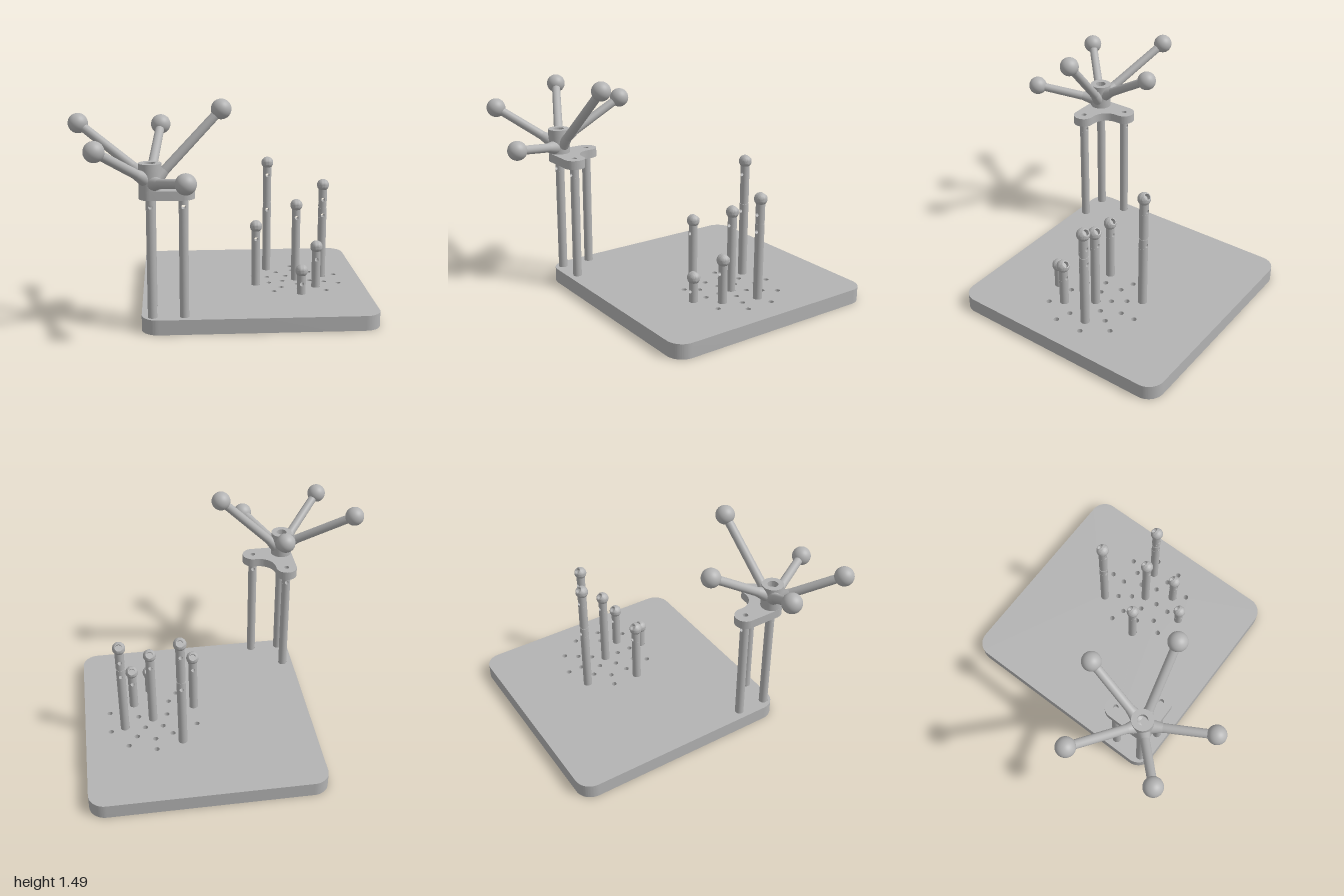
import * as THREE from 'three';
import { toCreasedNormals } from 'three/addons/utils/BufferGeometryUtils.js';
import { ParametricGeometry } from 'three/addons/geometries/ParametricGeometry.js';

const grey = new THREE.MeshStandardMaterial({ color: 0xb3b3b3, side: THREE.DoubleSide });
grey.name = 'plain grey';

const ROD = 0.03;        // radius of pegs, posts and arms
const PIN = 0.014;       // radius of the cross holes
const HALF = 0.02;       // half height of a drilled rod section
const BOARD_TOP = 0.1;

function add(parent, name, geometry, x = 0, y = 0, z = 0) {
  const mesh = new THREE.Mesh(geometry, grey);
  mesh.name = name;
  mesh.position.set(x, y, z);
  parent.add(mesh);
  return mesh;
}

function addGroup(parent, name, x, z) {
  const group = new THREE.Group();
  group.name = name;
  group.position.set(x, 0, z);
  parent.add(group);
  return group;
}

// Flat slab lying in xz; shape y stands for -z
function slab(shape, height) {
  const g = new THREE.ExtrudeGeometry(shape, { depth: height, bevelEnabled: false, curveSegments: 20 });
  return toCreasedNormals(g.rotateX(-Math.PI / 2), 0.6);
}

function circlePath(x, z, r) {
  const path = new THREE.Path();
  path.absarc(x, -z, r, 0, Math.PI * 2, true);
  return path;
}

// Half of a cylinder wall with a round hole in its middle
const drilledWall = new ParametricGeometry((u, v, p) => {
  const a = u * Math.PI * 2, c = Math.cos(a), s = Math.sin(a);
  const m = Math.max(Math.abs(c), Math.abs(s));
  const theta = THREE.MathUtils.lerp((Math.PI / 2) * c / m, Math.asin(PIN * c / ROD), v);
  const y = THREE.MathUtils.lerp(HALF * s / m, PIN * s, v);
  p.set(ROD * Math.sin(theta), y, ROD * Math.cos(theta));
}, 32, 6);

// Inside of the cross hole, its ends following the rod surface
const bore = new THREE.CylinderGeometry(PIN, PIN, 1, 24, 1, true).rotateX(Math.PI / 2);
const bp = bore.attributes.position;
for (let i = 0; i < bp.count; i++) {
  bp.setZ(i, Math.sign(bp.getZ(i)) * Math.sqrt(ROD * ROD - bp.getX(i) ** 2));
}

// Round rod from y0 to y1 with cross holes and an optional groove
function addRod(group, y0, y1, holes, groove) {
  const features = holes.map(y => ({ y, half: HALF, hole: true }));
  if (groove) features.push({ y: groove, half: 0.005, hole: false });
  features.sort((a, b) => a.y - b.y);
  let y = y0;
  const solid = (to, r) => {
    add(group, 'rodSection', new THREE.CylinderGeometry(r, r, to - y, 32), 0, (y + to) / 2, 0);
    y = to;
  };
  for (const f of features) {
    solid(f.y - f.half, ROD);
    if (f.hole) {
      add(group, 'drilledFront', drilledWall, 0, f.y, 0);
      add(group, 'drilledBack', drilledWall, 0, f.y, 0).rotation.y = Math.PI;
      add(group, 'crossHole', bore, 0, f.y, 0);
      y = f.y + HALF;
    } else {
      solid(f.y + f.half, ROD - 0.003);
    }
  }
  solid(y1, ROD);
}

// Ball with a flat rim and a blind hole, tipped up and back
function ballHead() {
  const R = 0.043, rim = 0.026, pts = [];
  const end = Math.PI - Math.asin(rim / R);
  for (let i = 0; i <= 20; i++) {
    const a = end * i / 20;
    pts.push(new THREE.Vector2(R * Math.sin(a), -R * Math.cos(a)));
  }
  pts.push(new THREE.Vector2(0.02, 0.034), new THREE.Vector2(0.02, 0.008), new THREE.Vector2(0, 0.008));
  return toCreasedNormals(new THREE.LatheGeometry(pts, 32).rotateX(-Math.PI / 4), 0.6);
}

function rodBetween(parent, name, from, to, r0, r1) {
  const dir = to.clone().sub(from), len = dir.length();
  const mid = from.clone().add(to).multiplyScalar(0.5);
  const mesh = add(parent, name, new THREE.CylinderGeometry(r1, r0, len, 32), mid.x, mid.y, mid.z);
  mesh.quaternion.setFromUnitVectors(new THREE.Vector3(0, 1, 0), dir.normalize());
}

export function createModel() {
  const model = new THREE.Group();
  model.name = 'pegBoard';

  // Three rings of peg positions: ring, step (36 degrees, 0 = front)
  const cx = 0.532, cz = -0.21;
  const spot = (ring, step) => {
    const r = [0.104, 0.208, 0.311][ring], a = step * Math.PI / 5;
    return [cx + r * Math.sin(a), cz + r * Math.cos(a)];
  };
  const pegs = [
    { at: spot(2, 0), y: 0.265, holes: [0.175] },
    { at: spot(1, 1), y: 0.393, holes: [0.305] },
    { at: spot(2, 8), y: 0.527, holes: [0.44] },
    { at: [cx, cz], y: 0.652, holes: [0.565] },
    { at: spot(1, 3), y: 0.782, holes: [0.565, 0.68], groove: 0.62 },
    { at: spot(2, 6), y: 0.913, holes: [0.565, 0.825], groove: 0.62 },
  ];
  const posts = [[-0.485, 0.5], [-0.485, 0.29], [-0.28, 0.5]];

  // Board with rounded corners, open holes and sockets
  const x0 = -0.556, x1 = 1, y0 = -0.567, y1 = 0.99, c = 0.11;
  const board = new THREE.Shape();
  board.absarc(x1 - c, y0 + c, c, -Math.PI / 2, 0);
  board.absarc(x1 - c, y1 - c, c, 0, Math.PI / 2);
  board.absarc(x0 + c, y1 - c, c, Math.PI / 2, Math.PI);
  board.absarc(x0 + c, y0 + c, c, Math.PI, Math.PI * 1.5);
  const sockets = [...pegs.map(p => p.at), ...posts];
  for (const [x, z] of sockets) board.holes.push(circlePath(x, z, ROD + 0.001));
  for (let ring = 0; ring < 3; ring++) {
    for (let step = 0; step < 10; step += ring ? 1 : 2) {
      const [x, z] = spot(ring, step);
      if (sockets.some(s => Math.hypot(s[0] - x, s[1] - z) < 0.02)) continue;
      board.holes.push(circlePath(x, z, 0.018));
    }
  }
  add(model, 'board', slab(board, BOARD_TOP));

  // Pegs with tilted ball heads
  const head = ballHead();
  for (const p of pegs) {
    const peg = addGroup(model, 'peg', ...p.at);
    addRod(peg, 0.015, p.y - 0.02, p.holes, p.groove);
    add(peg, 'pegHead', head, 0, p.y, 0);
  }

  // Posts carrying the bracket
  for (const [x, z] of posts) addRod(addGroup(model, 'post', x, z), 0.015, 0.89, [0.83]);

  // L-shaped bracket with a swept inner corner
  const b = 0.072, bx = -0.485, bz = 0.5;
  const bracket = new THREE.Shape();
  bracket.absarc(bx, -bz, b, Math.PI, Math.PI * 1.5);
  bracket.absarc(-0.28, -bz, b, -Math.PI / 2, Math.PI / 2);
  bracket.absarc(-0.3, -bz + b + 0.113, 0.113, -Math.PI / 2, -Math.PI, true);
  bracket.absarc(bx, -0.29, b, 0, Math.PI);
  for (const [x, z] of posts.slice(1)) bracket.holes.push(circlePath(x, z, 0.018));
  add(model, 'bracket', slab(bracket, 0.06), 0, 0.88, 0);

  // Hub with a blind hole on top
  const hub = [[0, 0.93], [0.072, 0.93], [0.072, 1.105], [0.035, 1.105], [0.035, 1.06], [0, 1.06]]
    .map(([r, y]) => new THREE.Vector2(r, y));
  add(model, 'hub', toCreasedNormals(new THREE.LatheGeometry(hub, 40), 0.6), bx, 0, bz);

  // Five arms with flared roots and ball ends
  const arms = [
    [-0.938, 1.322, 0.267, 1.0],
    [-0.8, 1.232, 0.81, 0.985],
    [-0.272, 1.058, 0.918, 0.975],
    [-0.04, 1.425, 0.425, 0.96],
    [-0.417, 1.28, 0.053, 1.01],
  ];
  const ball = new THREE.SphereGeometry(0.064, 32, 24);
  for (const [x, y, z, rootY] of arms) {
    const tip = new THREE.Vector3(x, y, z), root = new THREE.Vector3(bx, rootY, bz);
    const dir = tip.clone().sub(root).normalize();
    const start = root.clone().addScaledVector(dir, 0.045);
    rodBetween(model, 'arm', start, tip, 0.031, 0.029);
    rodBetween(model, 'armRoot', start, root.clone().addScaledVector(dir, 0.14), 0.048, 0.03);
    add(model, 'armBall', ball, x, y, z);
  }
  return model;
}
